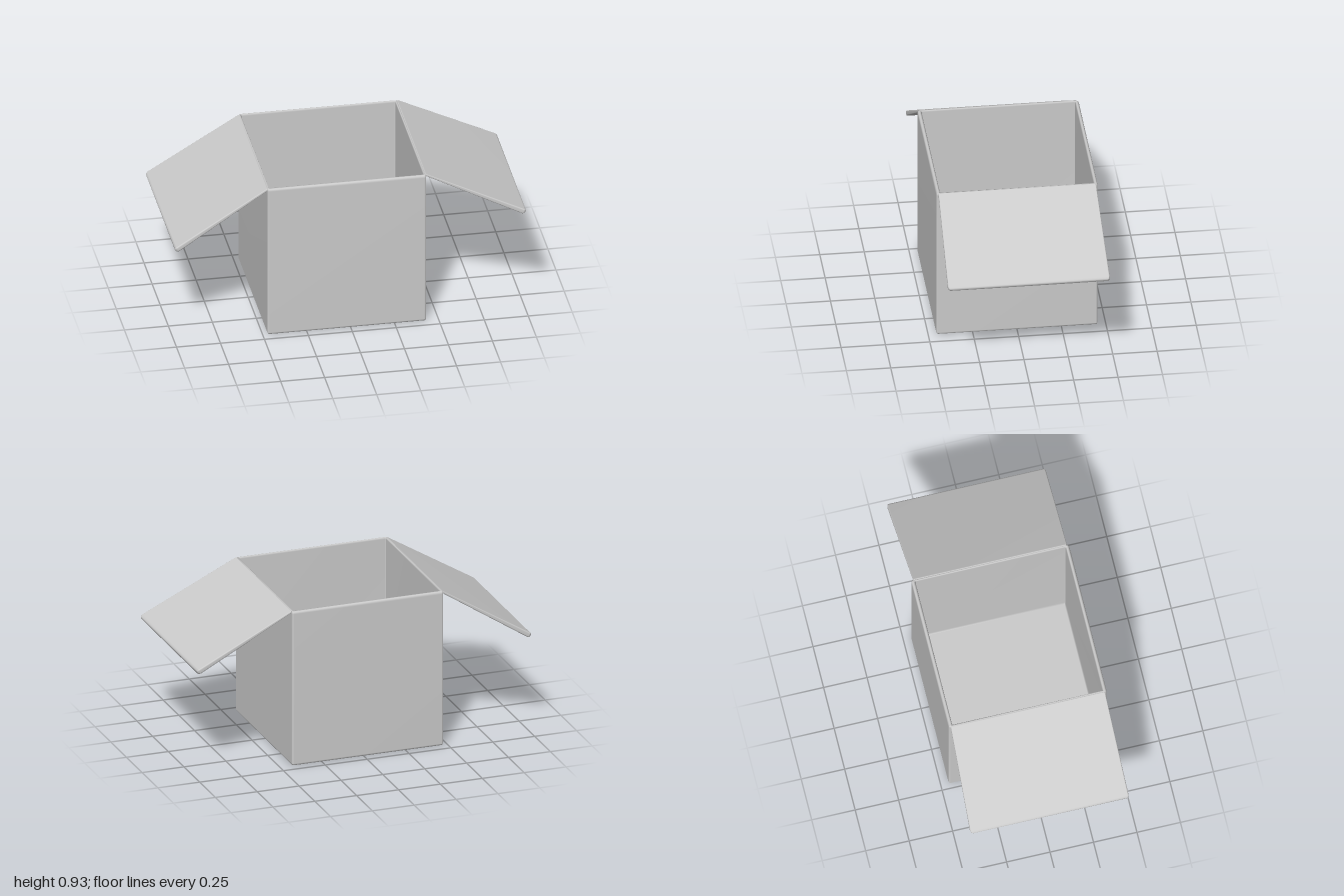
import * as THREE from 'three';

const CORNER_STEPS = 3;

// Points of a rounded rectangle (half sizes hx, hz, corner radius r) at height y.
function ring([hx, hz, y, r]) {
  const pts = [];
  for (let q = 0; q < 4; q++) {
    const sx = q === 0 || q === 3 ? 1 : -1;
    const sz = q < 2 ? 1 : -1;
    for (let i = 0; i <= CORNER_STEPS; i++) {
      const a = (q + i / CORNER_STEPS) * Math.PI / 2;
      pts.push(sx * (hx - r) + r * Math.cos(a), y, sz * (hz - r) + r * Math.sin(a));
    }
  }
  return pts;
}

// Closed skin through a list of rings; area-weighted normals keep the big faces flat.
function loft(sections) {
  const n = 4 * (CORNER_STEPS + 1);
  const pos = sections.flatMap(ring);
  const idx = [];
  for (let k = 0; k < sections.length - 1; k++) {
    for (let i = 0; i < n; i++) {
      const a = k * n + i, b = k * n + (i + 1) % n;
      idx.push(a, a + n, b, b, a + n, b + n);
    }
  }
  // End caps
  const last = (sections.length - 1) * n;
  for (let i = 1; i < n - 1; i++) {
    idx.push(0, i, i + 1, last, last + i + 1, last + i);
  }
  const geo = new THREE.BufferGeometry();
  geo.setAttribute('position', new THREE.Float32BufferAttribute(pos, 3));
  geo.setIndex(idx);
  geo.computeVertexNormals();
  return geo;
}

export function createModel() {
  const group = new THREE.Group();
  const mat = new THREE.MeshStandardMaterial({ color: 0xcccccc });

  // Open box: up the outside, over the rim, down the inside to the floor
  const hx = 0.452, hz = 0.455, top = 0.925;
  const ix = 0.438, iz = 0.432, floor = 0.02;
  const box = new THREE.Mesh(loft([
    [hx - 0.012, hz - 0.014, 0, 0.005],
    [hx - 0.004, hz - 0.004, 0.004, 0.01],
    [hx, hz, 0.014, 0.012],
    [hx, hz, top - 0.014, 0.012],
    [hx - 0.002, hz - 0.004, top - 0.004, 0.01],
    [hx - 0.005, hz - 0.01, top, 0.008],
    [ix + 0.003, iz + 0.006, top, 0.006],
    [ix, iz, top - 0.008, 0.005],
    [ix, iz, floor + 0.008, 0.005],
    [ix - 0.008, iz - 0.008, floor, 0.004],
  ]), mat);
  box.name = 'box';
  box.position.x = -0.022;
  group.add(box);

  // Flaps: thin at the hinge, thicker and slightly wider at the tip
  const flap = (name, x0, y0, x1, y1) => {
    const len = Math.hypot(x1 - x0, y1 - y0);
    const mesh = new THREE.Mesh(loft([
      [0.003, 0.438, -0.005, 0.002],
      [0.006, 0.443, 0, 0.004],
      [0.015, 0.456, len - 0.016, 0.008],
      [0.012, 0.452, len - 0.005, 0.007],
      [0.006, 0.444, len, 0.004],
    ]), mat);
    mesh.name = name;
    mesh.position.set(x0, y0, 0);
    mesh.rotation.z = Math.atan2(x0 - x1, y1 - y0);
    group.add(mesh);
  };
  flap('leftFlap', 0.43, 0.922, 0.995, 0.636);
  flap('rightFlap', -0.472, 0.918, -0.996, 0.586);

  return group;
}
